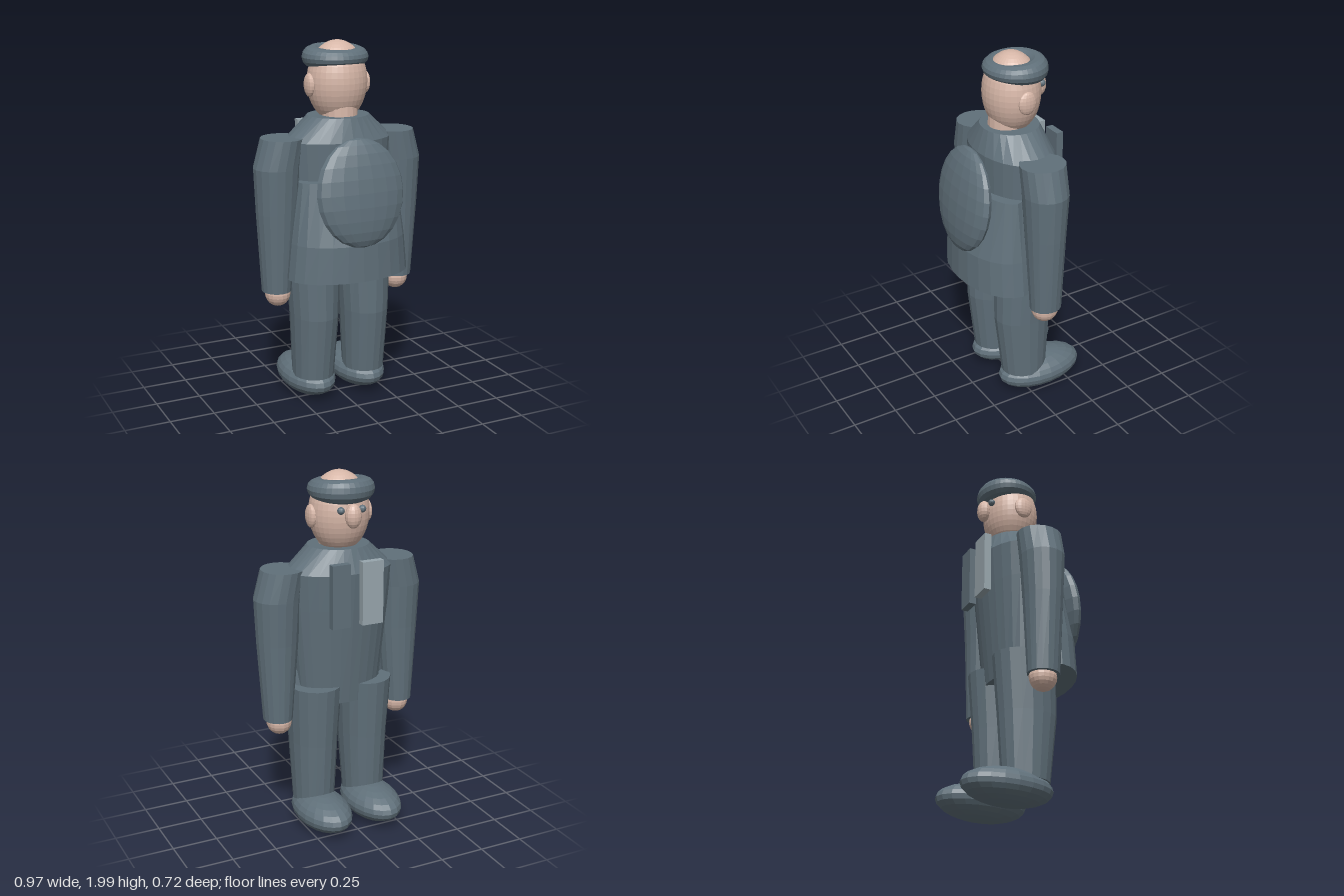
import * as THREE from 'three';

const paint = (name, color) => {
  const m = new THREE.MeshStandardMaterial({ color, flatShading: true });
  m.name = name;
  return m;
};

export function createModel() {
  const slate = paint('slate', 0x60707a);
  const skin = paint('skin', 0xd6b6a7);
  const pale = paint('paleSlate', 0x98a6ad);
  const model = new THREE.Group();
  model.name = 'figure';

  const add = (name, geometry, material, x = 0, y = 0, z = 0) => {
    const mesh = new THREE.Mesh(geometry, material);
    mesh.name = name;
    mesh.position.set(x, y, z);
    model.add(mesh);
    return mesh;
  };

  // Ellipsoid from three radii
  const ball = (name, material, [x, y, z], [rx, ry, rz], w = 18, h = 12) =>
    add(name, new THREE.SphereGeometry(1, w, h).scale(rx, ry, rz), material, x, y, z);

  // Capped tube through elliptical rings, top first: [y, centreX, centreZ, rx, rz]
  const loft = (name, material, rings, sides = 18) => {
    const n = rings.length - 1;
    const g = new THREE.CylinderGeometry(1, 1, n, sides, n);
    const p = g.attributes.position;
    for (let i = 0; i < p.count; i++) {
      const [y, cx, cz, rx, rz] = rings[Math.round(n / 2 - p.getY(i))];
      p.setXYZ(i, cx + p.getX(i) * rx, y, cz + p.getZ(i) * rz);
    }
    g.computeVertexNormals();
    return add(name, g, material);
  };

  // Torso with sloping shoulders
  loft('torso', slate, [
    [1.605, 0, 0, 0.17, 0.155],
    [1.48, 0, -0.005, 0.305, 0.2],
    [1.28, 0, 0, 0.29, 0.188],
    [0.735, 0, 0, 0.235, 0.135],
  ], 28);

  // Flared coat skirt and the tilted pack over it
  loft('coatSkirt', slate, [
    [1.28, 0, 0.12, 0.285, 0.11],
    [0.95, 0, 0.12, 0.33, 0.2],
    [0.75, 0, 0.12, 0.35, 0.205],
  ], 24);
  ball('pack', slate, [0, 1.228, 0.278], [0.253, 0.29, 0.07], 18, 12).rotation.x = -0.15;

  // Flat panels on the chest
  add('slatePanel', new THREE.BoxGeometry(0.105, 0.345, 0.04), slate, 0.097, 1.378, -0.222);
  add('palePanel', new THREE.BoxGeometry(0.122, 0.345, 0.04), pale, -0.087, 1.378, -0.222);

  // Paired limbs and features
  for (const [side, s] of [['left', 1], ['right', -1]]) {
    loft(side + 'Arm', slate, [
      [1.502, s * 0.328, 0, 0.115, 0.125],
      [1.345, s * 0.36, 0, 0.128, 0.123],
      [1.1, s * 0.363, 0, 0.115, 0.108],
      [0.66, s * 0.37, -0.005, 0.08, 0.088],
    ]);
    ball(side + 'Hand', skin, [s * 0.363, 0.645, -0.005], [0.07, 0.075, 0.075], 16, 12);
    loft(side + 'Leg', slate, [
      [0.835, s * 0.152, -0.005, 0.15, 0.175],
      [0.5, s * 0.153, 0.01, 0.132, 0.163],
      [0.14, s * 0.156, 0, 0.115, 0.13],
    ]);
    ball(side + 'Shoe', slate, [s * 0.155, 0.103, -0.105], [0.147, 0.098, 0.255], 20, 12)
      .rotation.x = 0.02;
    ball(side + 'Ear', skin, [s * 0.163, 1.768, -0.01], [0.024, 0.063, 0.052], 14, 10);
    ball(side + 'Eye', slate, [s * 0.062, 1.815, -0.16], [0.02, 0.02, 0.02], 12, 8);
  }

  // Head, neck and nose
  loft('neck', skin, [[1.68, 0, 0.01, 0.1, 0.105], [1.56, 0, 0.01, 0.1, 0.11]]);
  ball('head', skin, [0, 1.78, -0.012], [0.165, 0.22, 0.153], 32, 22);
  ball('nose', skin, [0, 1.785, -0.18], [0.045, 0.065, 0.038], 14, 10);

  // Padded band around the crown, thicker at the back of the brow
  const ring = new THREE.TorusGeometry(0.12, 0.061, 14, 36).rotateX(Math.PI / 2);
  const rp = ring.attributes.position;
  for (let i = 0; i < rp.count; i++) rp.setY(i, rp.getY(i) * (0.9 - rp.getZ(i) * 1.1));
  ring.computeVertexNormals();
  add('headBand', ring.scale(1, 1, 0.94), slate, 0, 1.908, -0.035);

  return model;
}
